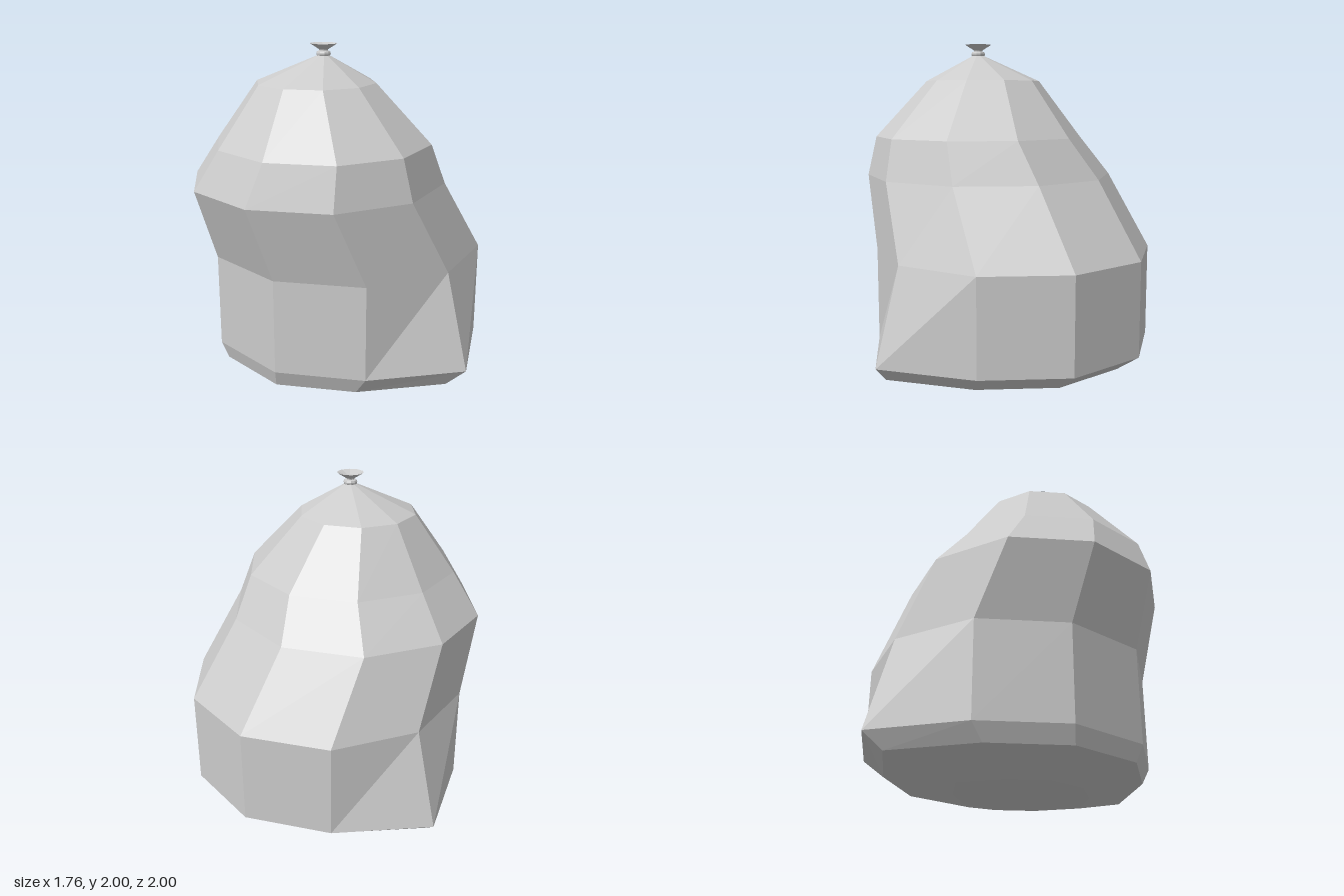
import * as THREE from 'three';

const SIDES = 10;

// Cross-sections of the sack: [y, centre x, centre z, radius, z reach of the front and back corners]
const RINGS = [
  [0, -0.03, 0, 0, 0],
  [0, -0.03, 0, 0.39, 0.47],
  [0.1, 0.025, 0, 0.752, 0.9],
  [0.2, 0.08, 0, 0.841, 1],
  [0.76, 0.08, 0, 0.841, 0.841],
  [1.2, -0.155, 0.005, 0.762, 0.762],
  [1.44, -0.175, 0.075, 0.636, 0.636],
  [1.78, -0.185, 0.03, 0.352, 0.352],
  [1.935, -0.17, 0.08, 0.03, 0.03],
  [1.935, -0.17, 0.08, 0, 0],
];

function ringPoint([y, cx, cz, r, reach], k) {
  const a = (k % SIDES) * Math.PI * 2 / SIDES;
  const z = k % (SIDES / 2) === 0 ? reach : r;
  return [cx + r * Math.sin(a), y, cz + z * Math.cos(a)];
}

// Joins neighbouring rings with flat panels; rings of zero radius close the ends
function loft(rings) {
  const positions = [];
  for (let i = 0; i < rings.length - 1; i++) {
    const low = rings[i], high = rings[i + 1];
    for (let k = 0; k < SIDES; k++) {
      const a = ringPoint(low, k), b = ringPoint(low, k + 1);
      const c = ringPoint(high, k + 1), d = ringPoint(high, k);
      if (low[3] > 0) positions.push(...a, ...b, ...c);
      if (high[3] > 0) positions.push(...a, ...c, ...d);
      else positions.splice(-9, 9, ...a, ...b, ...c);
    }
  }
  const geometry = new THREE.BufferGeometry();
  geometry.setAttribute('position', new THREE.Float32BufferAttribute(positions, 3));
  geometry.computeVertexNormals();
  return geometry;
}

export function createModel() {
  const group = new THREE.Group();
  group.name = 'tiedSack';
  const material = new THREE.MeshStandardMaterial({ color: 0xcccccc, flatShading: true, side: THREE.DoubleSide });

  // Leaning, bulging body
  const body = new THREE.Mesh(loft(RINGS), material);
  body.name = 'body';
  group.add(body);

  // Tied neck ring and flared, dished mouth
  const add = (name, profile) => {
    const points = profile.map(([r, y]) => new THREE.Vector2(r, y));
    const mesh = new THREE.Mesh(new THREE.LatheGeometry(points, SIDES), material);
    mesh.name = name;
    mesh.position.set(-0.17, 0, 0.08);
    group.add(mesh);
  };
  add('neckTie', [[0.028, 1.927], [0.04, 1.934], [0.042, 1.945], [0.038, 1.955], [0.024, 1.96]]);
  add('flaredMouth', [[0.024, 1.955], [0.026, 1.966], [0.08, 2], [0.03, 1.98], [0, 1.976]]);

  return group;
}
